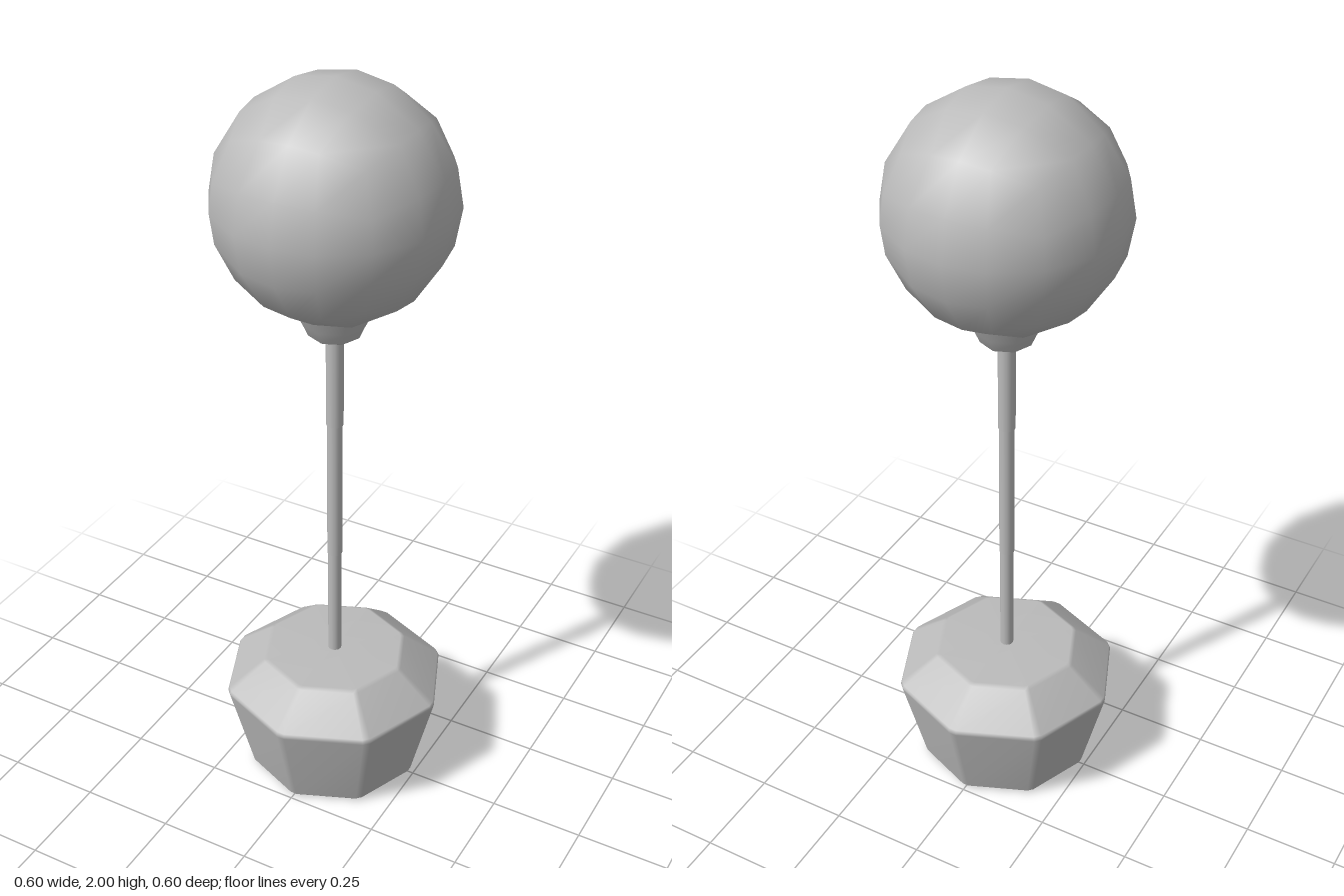
import * as THREE from 'three';
import { mergeVertices } from 'three/addons/utils/BufferGeometryUtils.js';

// Closed loft of a [radius, y] profile (bottom to top) around y at the given angles.
function loft(profile, angles) {
  const n = angles.length, pos = [], index = [];
  for (const [r, y] of profile) {
    for (const a of angles) pos.push(r * Math.sin(a), y, r * Math.cos(a));
  }
  for (let j = 0; j < profile.length - 1; j++) {
    for (let i = 0; i < n; i++) {
      const k = (i + 1) % n;
      const a = j * n + i, b = j * n + k, c = b + n, d = a + n;
      index.push(a, b, c, a, c, d);
    }
  }
  const g = new THREE.BufferGeometry();
  g.setAttribute('position', new THREE.Float32BufferAttribute(pos, 3));
  g.setIndex(index);
  g.computeVertexNormals();
  return g;
}

const ring = (n) => Array.from({ length: n }, (_, i) => (i / n) * Math.PI * 2);

// Octagon whose corners are each split into a narrow bevel.
const beveledOctagon = ring(8).flatMap((a) => [a - 0.035, a + 0.035]);

// Ball made from a 4 x 4 x 4 box pushed out to a sphere.
function ballGeometry(radius) {
  let g = new THREE.BoxGeometry(2, 2, 2, 4, 4, 4);
  g.deleteAttribute('uv');
  g.deleteAttribute('normal');
  g = mergeVertices(g);
  const p = g.attributes.position, v = new THREE.Vector3();
  const ease = (t) => (Math.abs(t) > 0.9 ? t : t * 0.744);
  const normals = [];
  for (let i = 0; i < p.count; i++) {
    v.set(ease(p.getX(i)), ease(p.getY(i)), ease(p.getZ(i))).normalize();
    normals.push(v.x, v.y, v.z);
    p.setXYZ(i, v.x * radius, v.y * radius, v.z * radius);
  }
  g.setAttribute('normal', new THREE.Float32BufferAttribute(normals, 3));
  return g;
}

export function createModel() {
  const model = new THREE.Group();
  model.name = 'ballOnPole';
  const grey = new THREE.MeshStandardMaterial({ color: 0xbbbbbb });
  grey.name = 'plain grey';

  const add = (name, geometry, y = 0) => {
    const mesh = new THREE.Mesh(geometry, grey);
    mesh.name = name;
    mesh.position.y = y;
    model.add(mesh);
  };

  // Faceted weight with softened edges
  add('base', loft([
    [0, 0], [0.229, 0], [0.238, 0.009], [0.301, 0.26],
    [0.302, 0.268], [0.298, 0.275], [0.2, 0.354], [0.188, 0.36], [0, 0.36],
  ], beveledOctagon));

  // Pole in three sections, slightly thicker towards the top
  const sections = [
    ['poleLower', 0.35, 0.68, 0.018],
    ['poleMiddle', 0.68, 1.08, 0.02],
    ['poleUpper', 1.08, 1.36, 0.0225],
  ];
  for (const [name, y0, y1, r] of sections) {
    add(name, new THREE.CylinderGeometry(r, r, y1 - y0, 12), (y0 + y1) / 2);
  }

  // Flared collar under the ball
  add('collar', loft([
    [0, 1.34], [0.058, 1.34], [0.068, 1.346], [0.082, 1.378], [0.106, 1.425],
  ], ring(8)));

  add('ball', ballGeometry(0.302), 1.698);
  return model;
}
